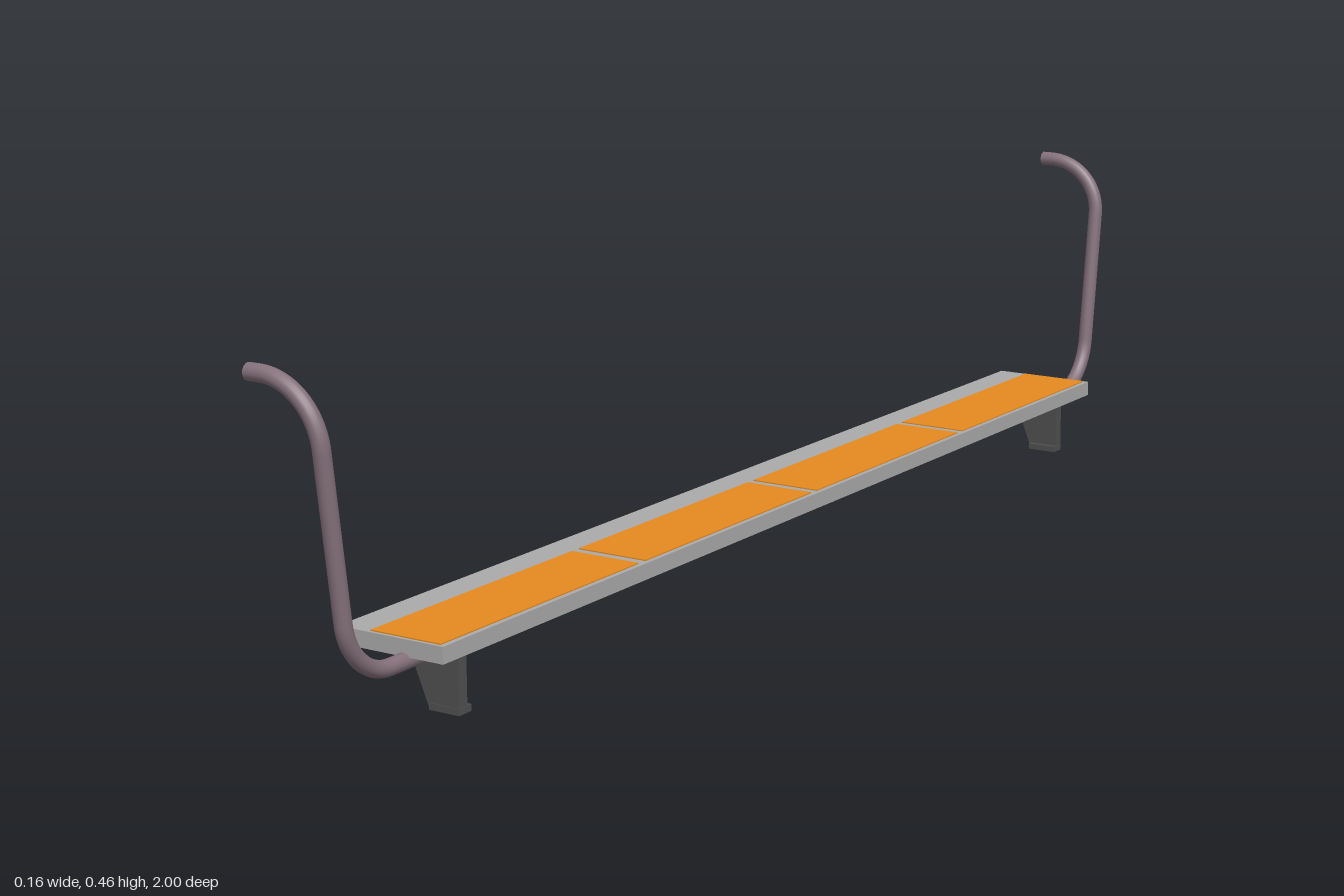
import * as THREE from 'three';

const material = (color) => new THREE.MeshStandardMaterial({ color });

export function createModel() {
  const group = new THREE.Group();
  const boardMat = material(0xaaaaaa);
  const padMat = material(0xe58a1f);
  const legMat = material(0x505050);
  const tubeMat = material(0x84707a);

  const add = (name, geometry, mat, x = 0, y = 0, z = 0, parent = group) => {
    const mesh = new THREE.Mesh(geometry, mat);
    mesh.name = name;
    mesh.position.set(x, y, z);
    parent.add(mesh);
    return mesh;
  };

  // Long flat board
  add('board', new THREE.BoxGeometry(0.16, 0.022, 1.7), boardMat, 0, 0.094, 0);

  // Four coloured pads, set in a row towards one edge
  for (let i = 0; i < 4; i++) {
    add('pad' + (i + 1), new THREE.BoxGeometry(0.106, 0.006, 0.411), padMat, 0.02, 0.1035, (i - 1.5) * 0.4265);
  }

  // Tapered bracket outline
  const legShape = new THREE.Shape([
    new THREE.Vector2(-0.02, 0.083), new THREE.Vector2(0.014, 0),
    new THREE.Vector2(0.059, 0), new THREE.Vector2(0.059, 0.083),
  ]);

  // Handrail: under the board, up with a slight lean, then over to the side
  const v = (x, y, z) => new THREE.Vector3(x, y, z);
  const railPath = new THREE.CurvePath();
  const bottomStart = v(0.02, 0.077, 0.78), bottomEnd = v(0.02, 0.077, 0.875);
  const leanStart = v(0.02, 0.15, 0.957), leanEnd = v(0.02, 0.36, 0.984);
  railPath.add(new THREE.LineCurve3(bottomStart, bottomEnd));
  railPath.add(new THREE.CubicBezierCurve3(bottomEnd, v(0.02, 0.077, 0.918), v(0.02, 0.112, 0.952), leanStart));
  railPath.add(new THREE.LineCurve3(leanStart, leanEnd));
  railPath.add(new THREE.CubicBezierCurve3(leanEnd, v(0.02, 0.407, 0.989), v(-0.018, 0.444, 0.989), v(-0.065, 0.444, 0.989)));
  railPath.add(new THREE.LineCurve3(v(-0.065, 0.444, 0.989), v(-0.081, 0.444, 0.989)));
  const railGeometry = new THREE.TubeGeometry(railPath, 96, 0.011, 16, false);

  // Matching bracket and handrail at each end
  for (const side of [1, -1]) {
    const end = new THREE.Group();
    end.name = side > 0 ? 'frontEnd' : 'backEnd';
    end.scale.z = side;
    group.add(end);

    add('leg', new THREE.ExtrudeGeometry(legShape, { depth: 0.016, bevelEnabled: false }), legMat, 0, 0, 0.779, end);
    add('foot', new THREE.BoxGeometry(0.046, 0.009, 0.024), legMat, 0.0365, 0.0045, 0.784, end);
    add('handrail', railGeometry, tubeMat, 0, 0, 0, end);

    // Closed tube ends
    const cap = new THREE.CircleGeometry(0.011, 16);
    add('railTipCap', cap, tubeMat, -0.081, 0.444, 0.989, end).rotation.y = -Math.PI / 2;
    add('railInnerCap', cap, tubeMat, 0.02, 0.077, 0.78, end).rotation.y = Math.PI;
  }

  return group;
}
